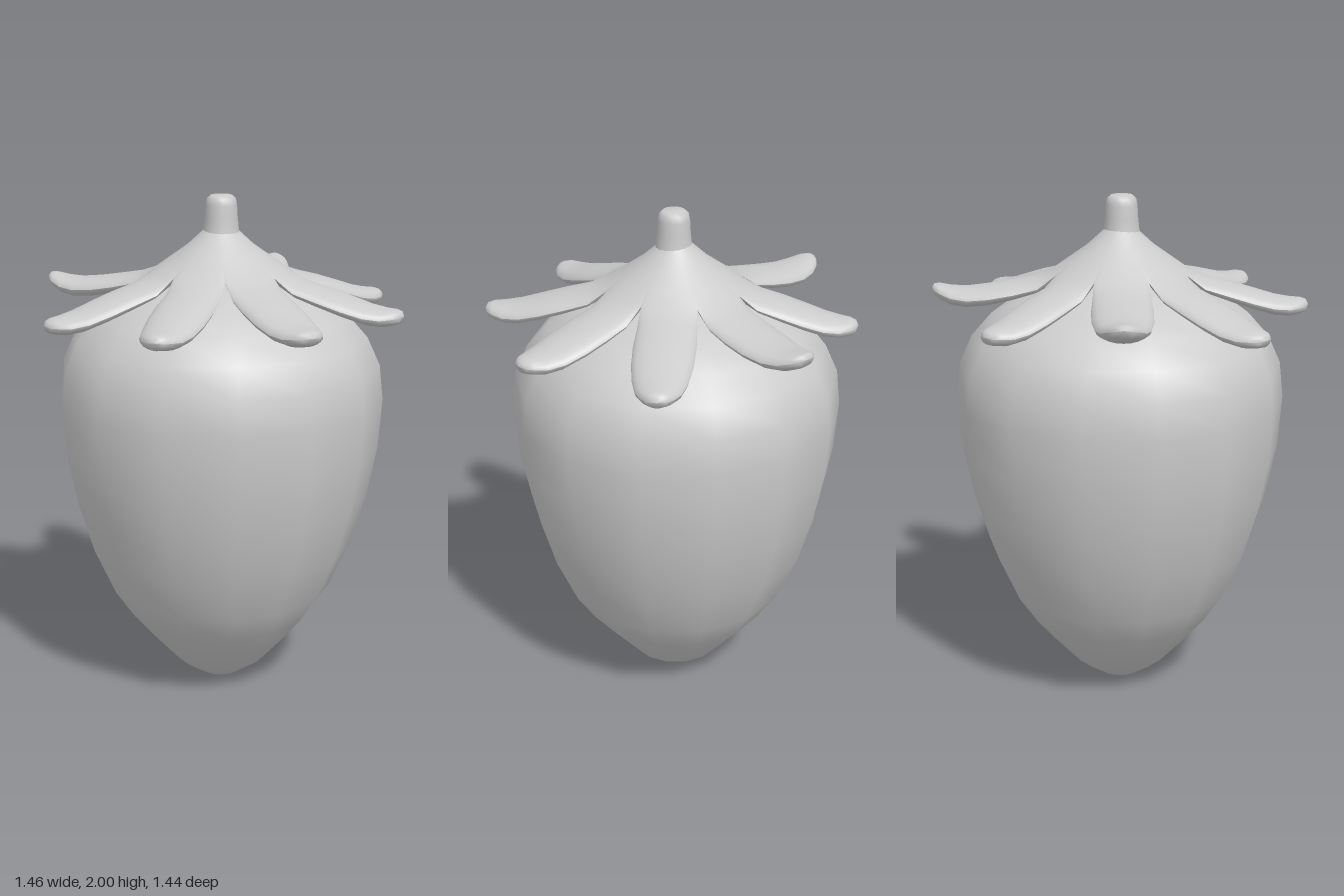
import * as THREE from 'three';
import { mergeVertices } from 'three/addons/utils/BufferGeometryUtils.js';

const grey = new THREE.MeshStandardMaterial({ color: 0xcccccc });
const leafMaterial = new THREE.MeshStandardMaterial({ color: 0xcccccc, side: THREE.DoubleSide });

const part = (name, geometry, material = grey) => {
  const mesh = new THREE.Mesh(geometry, material);
  mesh.name = name;
  return mesh;
};
const lathe = (points, segments) =>
  new THREE.LatheGeometry(points.map(([r, y]) => new THREE.Vector2(r, y)), segments);

// Leaf rows from stem to tip: radius, top height, half width, thickness
const NOTCH = 0.27;
const ROWS = [
  [0.04, 1.89], [0.07, 1.86], [0.13, 1.805], [0.2, 1.755], [NOTCH, 1.705],
  [0.34, 1.68, 0.11, 0.06], [0.43, 1.655, 0.115, 0.07], [0.52, 1.625, 0.112, 0.075],
  [0.6, 1.597, 0.1, 0.075], [0.66, 1.583, 0.083, 0.07], [0.7, 1.578, 0.06, 0.06],
  [0.722, 1.57, 0.035, 0.045], [0.732, 1.55, 0, 0],
];

// Eight leaves, starting at the left (+x) and turning towards the front (+z)
const LEAVES = [
  { lift: 0 }, { lift: 0.02 }, { lift: 0.03, length: 1.01 }, { lift: 0.02 },
  { lift: 0 }, { lift: 0.09 }, { lift: 0.01, length: 0.96 }, { lift: 0.09 },
];

// One side (upper or lower) of the whole leaf crown, joined between the leaves
function crownSheet(upper) {
  const positions = [], index = [], cols = 10;
  const snap = (v) => Math.round(v * 1e4) / 1e4;
  LEAVES.forEach(({ lift, length = 1 }, n) => {
    const start = positions.length / 3;
    ROWS.forEach(([r, top, width, thick = 0.05], i) => {
      const outer = r > NOTCH;
      const halfAngle = outer ? Math.asin(width / r) : Math.PI / 8;
      const along = Math.max(0, (r - NOTCH) / 0.46);
      const radius = outer ? NOTCH + (r - NOTCH) * (1 + (length - 1) * 1.6) : r;
      for (let j = 0; j <= cols; j++) {
        const u = Math.sin((j / cols - 0.5) * Math.PI);
        const round = Math.sqrt(Math.max(0, 1 - u * u));
        const a = n * Math.PI / 4 + u * halfAngle;
        let y = top + lift * along * along;
        if (outer) y -= (thick / 2) * (1 - round);
        if (!upper) y -= thick * round;
        positions.push(snap(radius * Math.cos(a)), snap(y), snap(radius * Math.sin(a)));
        if (i && j) {
          const d = start + i * (cols + 1) + j, c = d - 1;
          const b = d - cols - 1, e = b - 1;
          if (upper) index.push(e, b, c, b, d, c);
          else index.push(e, c, b, b, c, d);
        }
      }
    });
  });
  const geometry = new THREE.BufferGeometry();
  geometry.setAttribute('position', new THREE.Float32BufferAttribute(positions, 3));
  geometry.setIndex(index);
  const joined = mergeVertices(geometry, 1e-4);
  joined.computeVertexNormals();
  return joined;
}

export function createModel() {
  const model = new THREE.Group();
  model.name = 'strawberry';

  // Fruit body with a coarse round section and smooth shading
  const body = part('fruitBody', lathe([
    [0, 0.005], [0.08, 0.018], [0.18, 0.085], [0.285, 0.2], [0.37, 0.3], [0.445, 0.41],
    [0.53, 0.6], [0.59, 0.8], [0.63, 1.0], [0.645, 1.2], [0.63, 1.34], [0.58, 1.45],
    [0.5, 1.54], [0.4, 1.6], [0.28, 1.655], [0.13, 1.69], [0, 1.7],
  ], 14));
  body.rotation.y = 0.1;
  body.position.z = -0.025;
  model.add(body);

  // Leaf crown
  const crown = new THREE.Group();
  crown.name = 'leafCrown';
  crown.position.z = -0.02;
  crown.add(part('leafTops', crownSheet(true), leafMaterial));
  crown.add(part('leafUndersides', crownSheet(false), leafMaterial));
  model.add(crown);

  // Stem with a rounded top
  const stem = part('stem', lathe([
    [0.075, 1.83], [0.068, 1.87], [0.064, 1.91], [0.061, 1.96],
    [0.056, 1.985], [0.042, 1.997], [0, 2],
  ], 16));
  stem.position.z = -0.015;
  model.add(stem);

  return model;
}
